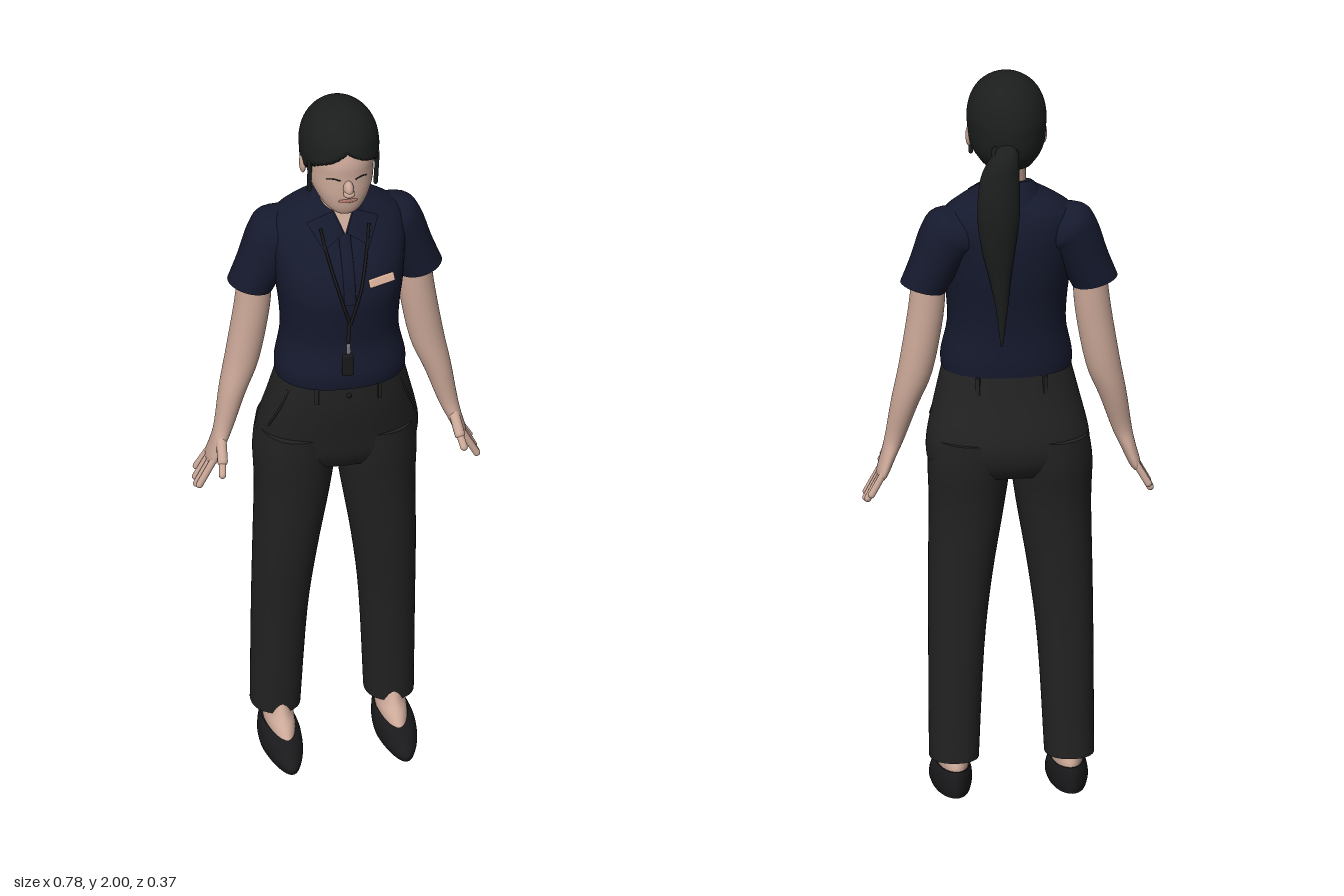
import * as THREE from 'three';
import { RoundedBoxGeometry } from 'three/addons/geometries/RoundedBoxGeometry.js';

const mat = (name, color, side = THREE.FrontSide) => {
  const m = new THREE.MeshStandardMaterial({ color, side });
  m.name = name;
  return m;
};

export function createModel() {
  const skin = mat('skin', 0xcba898), hairMat = mat('hair black', 0x1c1e1e);
  const navy = mat('shirt navy', 0x161a2e, THREE.DoubleSide), black = mat('trouser black', 0x222222);
  const shoeMat = mat('shoe black', 0x1a191b), lip = mat('lip rose', 0xa97468);
  const peach = mat('badge peach', 0xe2b79f), grey = mat('clip grey', 0x77777a);

  const model = new THREE.Group();
  model.name = 'standingWoman';
  const add = (name, geo, material, parent = model) => {
    const m = new THREE.Mesh(geo, material);
    m.name = name;
    parent.add(m);
    return m;
  };
  const { smoothstep } = THREE.MathUtils;

  // Smooth skin through rings listed top to bottom: [x, y, halfWidth, zFront, zBack, tilt, slope, opening]
  const loft = (rows, { power = 2, taper = 0, hairline = false, n = 48, steps = 4 } = {}) => {
    const rings = [];
    const at = (i, k) => rows[Math.min(Math.max(i, 0), rows.length - 1)][k] ?? 0;
    for (let i = 0; i < rows.length - 1; i++) {
      for (let s = 0; s < steps + (i === rows.length - 2 ? 1 : 0); s++) {
        const t = s / steps;
        rings.push([0, 1, 2, 3, 4, 5, 6, 7].map((k) => {
          const a = at(i - 1, k), b = at(i, k), c = at(i + 1, k), d = at(i + 2, k);
          return b + 0.5 * t * (c - a + t * (2 * a - 5 * b + 4 * c - d + t * (3 * (b - c) + d - a)));
        }));
      }
    }
    const pos = [], idx = [];
    const pushRing = ([x, y, rx, zf, zb, tilt, slope, open]) => {
      for (let j = 0; j < n; j++) {
        const a = (j / n) * Math.PI * 2;
        const round = (v) => Math.sign(v) * Math.abs(v) ** (2 / power);
        let u = round(Math.cos(a)), v = round(Math.sin(a));
        if (hairline) {
          const d = Math.abs(Math.atan2(Math.cos(a), Math.sin(a)));
          const f = 0.8 + 0.2 * smoothstep(d, open - 0.12, open + 0.12);
          u *= f; v *= f;
        }
        u *= rx * (1 - taper * Math.max(0, Math.sin(a)));
        pos.push(x + u * Math.cos(tilt), y + u * Math.sin(tilt) + slope * v, (zf + zb) / 2 + v * (zf - zb) / 2);
      }
    };
    rings.forEach(pushRing);
    for (let i = 0; i < rings.length - 1; i++) {
      for (let j = 0; j < n; j++) {
        const A = i * n + j, B = i * n + (j + 1) % n;
        idx.push(A, B, A + n, B, B + n, A + n);
      }
    }
    // End caps
    [rings[0], rings[rings.length - 1]].forEach((r, end) => {
      const start = pos.length / 3;
      pushRing(r);
      pos.push(r[0], r[1], (r[3] + r[4]) / 2);
      for (let j = 0; j < n; j++) {
        const a = start + j, b = start + (j + 1) % n;
        idx.push(start + n, end ? a : b, end ? b : a);
      }
    });
    const g = new THREE.BufferGeometry();
    g.setAttribute('position', new THREE.Float32BufferAttribute(pos, 3));
    g.setIndex(idx);
    g.computeVertexNormals();
    return g;
  };
  const mirror = (rows, s) => rows.map(([x, y, r, f, b, t = 0, ...rest]) => [x * s, y, r, f, b, t * s, ...rest]);

  // Round-ended rod between two points
  const rod = (name, a, b, r, material, parent = model) => {
    const p = new THREE.Vector3(...a), q = new THREE.Vector3(...b), d = q.clone().sub(p);
    const m = add(name, new THREE.CapsuleGeometry(r, d.length(), 5, 12), material, parent);
    m.position.copy(p).add(q).multiplyScalar(0.5);
    m.quaternion.setFromUnitVectors(new THREE.Vector3(0, 1, 0), d.normalize());
    return m;
  };
  const ball = (name, p, s, material) => {
    const m = add(name, new THREE.SphereGeometry(1, 20, 14), material);
    m.position.set(...p);
    m.scale.set(...s);
    return m;
  };
  const cord = (name, pts, r, material) => add(name, new THREE.TubeGeometry(
    new THREE.CatmullRomCurve3(pts.map((p) => new THREE.Vector3(...p))), 24, r, 8), material);

  // Head and neck
  add('head', loft([
    [0, 1.96, 0.05, 0.06, -0.05], [0, 1.92, 0.08, 0.11, -0.09], [0, 1.87, 0.09, 0.129, -0.1],
    [0, 1.83, 0.09, 0.13, -0.1], [0, 1.79, 0.085, 0.132, -0.08], [0, 1.76, 0.074, 0.131, -0.05],
    [0, 1.73, 0.054, 0.126, 0], [0, 1.712, 0.031, 0.115, 0.04], [0, 1.706, 0.008, 0.09, 0.07]], { power: 2.15 }), skin);
  add('neck', loft([[0, 1.79, 0.05, 0.05, -0.06], [0, 1.71, 0.05, 0.062, -0.065], [0, 1.62, 0.057, 0.066, -0.08]]), skin);
  ball('nose', [0, 1.803, 0.134], [0.014, 0.022, 0.022], skin).rotation.x = -0.3;
  ball('noseTip', [0, 1.792, 0.143], [0.016, 0.011, 0.015], skin);
  ball('lips', [0, 1.762, 0.128], [0.026, 0.007, 0.007], lip);

  // Hair cap, ponytail and its band
  add('hairCap', loft([
    [0, 2.0, 0.006, 0.02, 0, 0, 0, -0.5], [0, 1.99, 0.046, 0.065, -0.045, 0, 0, -0.5],
    [0, 1.965, 0.078, 0.105, -0.08, 0, 0, -0.5], [0, 1.93, 0.098, 0.13, -0.105, 0, 0, -0.3],
    [0, 1.89, 0.106, 0.14, -0.118, 0, 0, 0.2], [0, 1.86, 0.105, 0.142, -0.121, 0, 0, 0.8],
    [0, 1.82, 0.101, 0.13, -0.119, 0, 0, 1.3], [0, 1.79, 0.09, 0.11, -0.11, 0, 0, 1.7],
    [0, 1.76, 0.068, 0.07, -0.088, 0, 0, 2.1]], { hairline: true, n: 96 }), hairMat);
  add('ponytail', loft([
    [0.01, 1.845, 0.012, -0.09, -0.115], [0.02, 1.82, 0.034, -0.1, -0.16], [0.035, 1.76, 0.052, -0.1, -0.178],
    [0.04, 1.66, 0.057, -0.108, -0.187], [0.04, 1.56, 0.045, -0.115, -0.178], [0.035, 1.47, 0.028, -0.122, -0.164],
    [0.03, 1.38, 0.015, -0.126, -0.152], [0.03, 1.28, 0.003, -0.13, -0.138]]), hairMat);
  const band = add('hairBand', new THREE.TorusGeometry(0.03, 0.008, 8, 24), shoeMat);
  band.position.set(0.02, 1.822, -0.125);
  band.rotation.x = 1.1;

  // Polo shirt
  add('shirtBody', loft([
    [0, 1.69, 0.078, 0.05, -0.095], [0, 1.665, 0.13, 0.06, -0.118], [0, 1.63, 0.175, 0.075, -0.135],
    [0, 1.58, 0.184, 0.108, -0.145], [0, 1.52, 0.178, 0.14, -0.145], [0, 1.45, 0.17, 0.156, -0.138],
    [0, 1.38, 0.161, 0.15, -0.125], [0, 1.3, 0.158, 0.143, -0.115], [0, 1.22, 0.174, 0.155, -0.114],
    [0, 1.18, 0.174, 0.151, -0.111]], { power: 2.25 }), navy);
  add('collar', loft([
    [0, 1.705, 0.064, 0.058, -0.082, 0, -0.018], [0, 1.695, 0.075, 0.068, -0.095, 0, -0.018],
    [0, 1.65, 0.104, 0.084, -0.119, 0, -0.018]], { power: 2.1 }), navy);
  add('placket', loft([
    [0, 1.63, 0.016, 0.086, 0.07], [0, 1.58, 0.016, 0.114, 0.098], [0, 1.52, 0.016, 0.146, 0.13],
    [0, 1.45, 0.016, 0.161, 0.145]], { power: 4, n: 24 }), navy);
  const neckGap = new THREE.BufferGeometry();
  neckGap.setAttribute('position', new THREE.Float32BufferAttribute(
    [-0.026, 1.695, 0.067, 0, 1.632, 0.094, 0.026, 1.695, 0.067], 3));
  neckGap.computeVertexNormals();
  add('openNeck', neckGap, skin);

  // Trousers: seat, waist details and legs
  add('trouserSeat', loft([
    [0, 1.195, 0.168, 0.142, -0.104], [0, 1.1, 0.192, 0.138, -0.126], [0, 1.0, 0.216, 0.121, -0.152],
    [0, 0.94, 0.217, 0.11, -0.147], [0, 0.9, 0.2, 0.09, -0.125]], { power: 2.2 }), black);
  add('waistButton', new THREE.SphereGeometry(0.007, 10, 8), shoeMat).position.set(0, 1.155, 0.143);
  const legs = new THREE.Group();
  legs.name = 'legs';
  legs.position.x = -0.006;
  model.add(legs);

  for (const s of [1, -1]) {
    const side = s > 0 ? 'left' : 'right';
    // Face side details
    ball(side + 'Ear', [s * 0.1, 1.825, 0.018], [0.009, 0.028, 0.018], skin);
    rod(side + 'HairLock', [s * 0.092, 1.86, 0.07], [s * 0.09, 1.765, 0.058], 0.006, hairMat);
    cord(side + 'Eyelashes', [[s * 0.02, 1.826, 0.129], [s * 0.037, 1.83, 0.122], [s * 0.055, 1.825, 0.109]], 0.0018, hairMat);

    // Collar point
    const tip = new THREE.BufferGeometry();
    tip.setAttribute('position', new THREE.Float32BufferAttribute([
      s * 0.028, 1.695, 0.068, s * 0.004, 1.636, 0.094, s * 0.062, 1.6, 0.113, s * 0.098, 1.66, 0.058], 3));
    tip.setIndex(s > 0 ? [0, 1, 2, 0, 2, 3] : [0, 2, 1, 0, 3, 2]);
    tip.computeVertexNormals();
    add(side + 'CollarPoint', tip, navy);

    // Sleeve and arm
    add(side + 'Sleeve', loft(mirror([
      [0.09, 1.595, 0.06, 0.015, -0.11, 1.1], [0.14, 1.58, 0.085, 0.035, -0.128, 0.8],
      [0.168, 1.555, 0.078, 0.033, -0.123, 0.55], [0.2, 1.49, 0.066, 0.026, -0.113, 0.35],
      [0.23, 1.425, 0.062, 0.02, -0.105, 0.24]], s)), navy);
    add(side + 'Arm', loft(mirror([
      [0.215, 1.45, 0.046, 0.0, -0.098, 0.2], [0.224, 1.35, 0.048, 0.001, -0.098, 0.18],
      [0.25, 1.2, 0.046, 0.001, -0.095, 0.2], [0.279, 1.1, 0.036, 0.003, -0.082, 0.22],
      [0.304, 1.0, 0.026, 0.002, -0.06, 0.25], [0.32, 0.95, 0.02, 0.012, -0.066, 0.25],
      [0.336, 0.905, 0.016, 0.01, -0.072, 0.25], [0.341, 0.888, 0.01, 0.002, -0.066, 0.25]], s)), skin);
    // Fingers and thumb
    [[0.0, 0.002, 0.835], [-0.02, -0.02, 0.826], [-0.041, -0.045, 0.832], [-0.06, -0.068, 0.85]].forEach(([z0, z1, y], i) =>
      rod(side + 'Finger' + (i + 1), [s * 0.338, 0.905, z0], [s * (0.38 - (y - 0.826) * 0.4), y, z1], 0.0095, skin));
    rod(side + 'ThumbBase', [s * 0.316, 0.965, -0.005], [s * 0.322, 0.925, 0.04], 0.014, skin);
    rod(side + 'Thumb', [s * 0.322, 0.925, 0.04], [s * 0.328, 0.9, 0.068], 0.01, skin);

    // Trouser leg, foot and shoe
    add(side + 'TrouserLeg', loft(mirror([
      [0.108, 1.0, 0.1, 0.115, -0.146], [0.11, 0.92, 0.109, 0.108, -0.142], [0.116, 0.8, 0.1, 0.093, -0.123],
      [0.134, 0.6, 0.085, 0.073, -0.116], [0.146, 0.4, 0.074, 0.049, -0.12], [0.154, 0.1, 0.066, 0.026, -0.127]], s),
    { power: 2.2 }), black, legs);
    add(side + 'Foot', loft(mirror([
      [0.152, 0.15, 0.036, 0.015, -0.09], [0.152, 0.1, 0.037, 0.045, -0.1], [0.152, 0.075, 0.04, 0.085, -0.11],
      [0.152, 0.05, 0.04, 0.11, -0.11]], s), { taper: 0.15 }), skin, legs);
    add(side + 'Shoe', loft(mirror([
      [0.153, 0.066, 0.043, 0.095, -0.116, 0, -0.005], [0.154, 0.048, 0.052, 0.148, -0.123, 0, -0.003],
      [0.155, 0.02, 0.056, 0.183, -0.125], [0.155, 0, 0.051, 0.179, -0.122]], s), { taper: 0.22 }), shoeMat, legs);

    // Belt loops and pocket seam
    for (const [x, z, yaw] of [[0.085, 0.128, 0.35], [0.09, -0.101, 2.8]]) {
      const loop = add(side + 'BeltLoop', new THREE.BoxGeometry(0.012, 0.05, 0.009), black);
      loop.position.set(s * x, 1.155, z);
      loop.rotation.y = s * yaw;
    }
    cord(side + 'PocketSeam', [[s * 0.148, 1.165, 0.085], [s * 0.172, 1.1, 0.076], [s * 0.2, 1.03, 0.052]], 0.003, black);

    // Lanyard cord
    cord(side + 'LanyardCord', [[s * 0.066, 1.655, 0.085], [s * 0.052, 1.58, 0.118], [s * 0.03, 1.49, 0.155],
      [0, 1.385, 0.158]], 0.004, shoeMat);
  }

  // Lanyard drop, clip and holder
  rod('lanyardDrop', [-0.004, 1.385, 0.158], [-0.006, 1.335, 0.16], 0.005, shoeMat);
  rod('lanyardClip', [-0.006, 1.325, 0.162], [-0.006, 1.305, 0.163], 0.006, grey);
  add('lanyardHolder', new RoundedBoxGeometry(0.03, 0.065, 0.014, 2, 0.005), shoeMat).position.set(-0.008, 1.265, 0.162);

  // Name badge
  const badge = add('nameBadge', new RoundedBoxGeometry(0.078, 0.024, 0.009, 2, 0.004), peach);
  badge.position.set(0.09, 1.503, 0.136);
  badge.rotation.set(-0.35, 0.36, 0, 'YXZ');

  return model;
}
